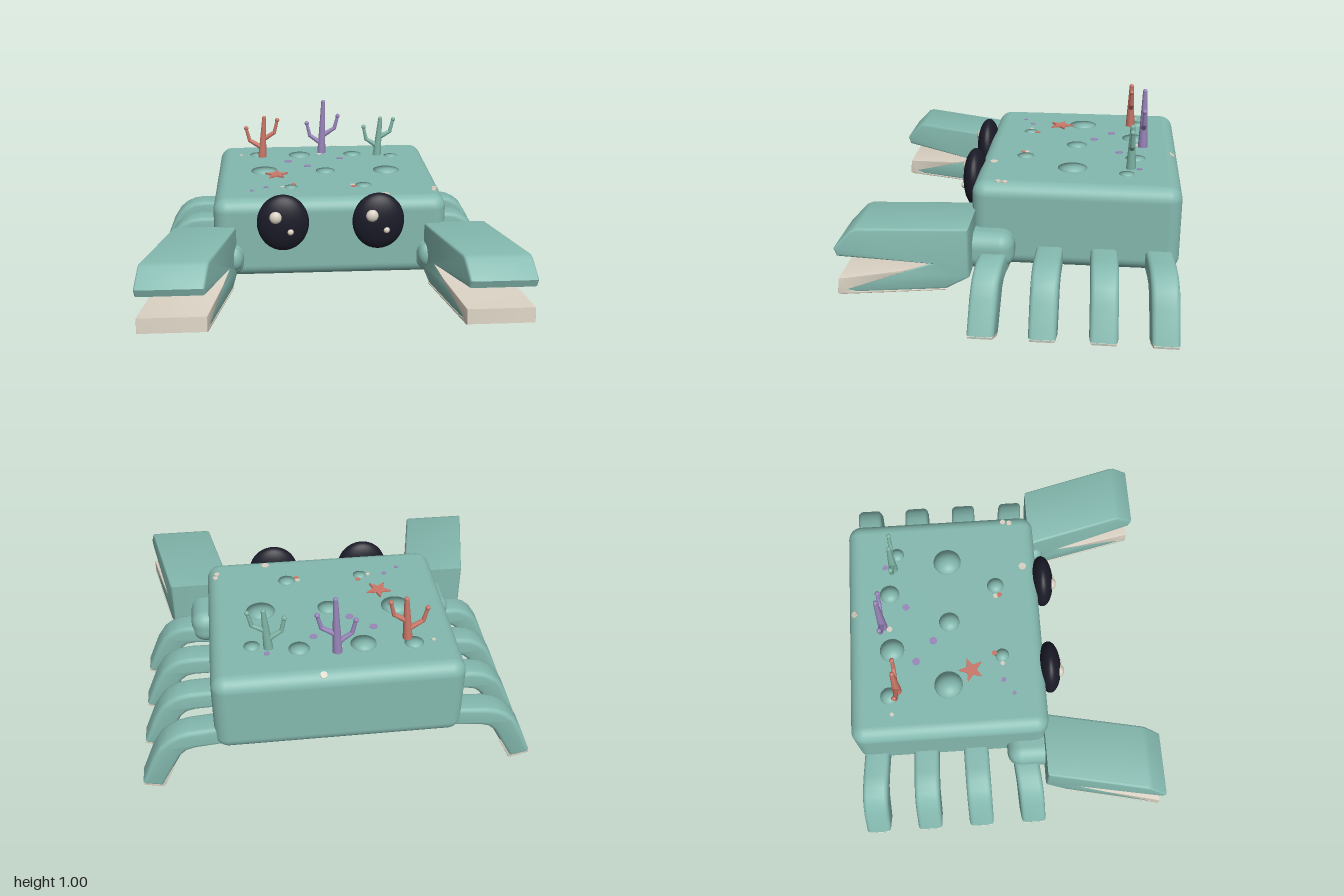
import * as THREE from 'three';
import { toCreasedNormals } from 'three/addons/utils/BufferGeometryUtils.js';
import { RoundedBoxGeometry } from 'three/addons/geometries/RoundedBoxGeometry.js';

const paint = (name, color) => {
  const m = new THREE.MeshStandardMaterial({ color });
  m.name = name;
  return m;
};

export function createModel() {
  const shell = paint('sea green shell', 0x84b9af);
  const cream = paint('cream', 0xd9d1c2);
  const black = paint('eye black', 0x1b1b29);
  const red = paint('coral red', 0xcb7768);
  const purple = paint('coral purple', 0x9a86bb);
  const green = paint('coral green', 0x7fb5a6);

  const model = new THREE.Group();
  model.name = 'crab';

  const add = (parent, name, geo, mat, x = 0, y = 0, z = 0) => {
    const mesh = new THREE.Mesh(geo, mat);
    mesh.name = name;
    mesh.position.set(x, y, z);
    parent.add(mesh);
    return mesh;
  };

  // Extrudes an outline to a total width, centred on its depth, with rounded edges inside the outline
  const slab = (points, width, bevel) => {
    const shape = new THREE.Shape(points.map(p => new THREE.Vector2(...p)));
    const geo = new THREE.ExtrudeGeometry(shape, {
      depth: width - 2 * bevel, bevelSize: bevel, bevelThickness: bevel,
      bevelOffset: -bevel, bevelSegments: 3,
    });
    return geo.translate(0, 0, bevel - width / 2);
  };

  // Moves every vertex by a rule, then restores smooth normals with crisp edges
  const bend = (geo, rule) => {
    const p = geo.attributes.position;
    const v = new THREE.Vector3();
    for (let i = 0; i < p.count; i++) {
      rule(v.fromBufferAttribute(p, i));
      p.setXYZ(i, v.x, v.y, v.z);
    }
    return toCreasedNormals(geo, 0.65);
  };

  // Body
  add(model, 'body', new RoundedBoxGeometry(1.24, 0.44, 1.03, 5, 0.07), shell, 0, 0.45, -0.295);

  // Shallow round pores on the back: x, z, radius (flattened domes that keep round shading)
  const pores = [
    [-0.35, -0.29, 0.075], [0.35, -0.265, 0.075], [-0.14, -0.58, 0.065],
    [0, -0.27, 0.055], [0.18, -0.585, 0.053], [-0.39, -0.6, 0.048],
    [0.41, -0.54, 0.04], [-0.205, 0, 0.037], [0.195, -0.01, 0.045],
  ];
  for (const [x, z, r] of pores) {
    const geo = new THREE.SphereGeometry(r, 24, 8, 0, Math.PI * 2, 0, Math.PI / 2);
    const p = geo.attributes.position;
    for (let i = 0; i < p.count; i++) p.setY(i, 0.0005 + p.getY(i) * 0.05);
    add(model, 'pore', geo, shell, x, 0.67, z);
  }

  // Small painted specks: x, z, radius, colour
  const specks = [
    [-0.21, -0.455, 0.021, purple], [-0.1, -0.36, 0.021, purple], [0.1, -0.5, 0.019, purple],
    [0.34, -0.605, 0.014, purple], [-0.415, 0.05, 0.011, purple], [-0.34, 0, 0.013, purple],
    [-0.02, -0.59, 0.016, cream], [-0.49, -0.59, 0.011, cream], [0.3, 0.145, 0.021, cream],
    [0.575, 0.055, 0.015, cream], [0.567, 0.09, 0.015, cream], [0.135, -0.012, 0.014, cream],
    [-0.25, 0, 0.012, cream], [-0.19, -0.04, 0.014, red], [0.14, 0.008, 0.014, red],
  ];
  for (const [x, z, r, mat] of specks)
    add(model, 'speck', new THREE.CylinderGeometry(r, r, 0.006, 8), mat, x, 0.67, z);
  add(model, 'rearSpeck', new THREE.CylinderGeometry(0.018, 0.018, 0.008, 8), cream, 0.08, 0.659, -0.778)
    .rotation.x = -0.6;

  // Starfish
  const star = [];
  for (let i = 0; i < 10; i++) {
    const a = Math.PI / 2 + i * Math.PI / 5, r = i % 2 ? 0.028 : 0.068;
    star.push([Math.cos(a) * r, Math.sin(a) * r]);
  }
  add(model, 'starfish', slab(star, 0.01, 0.001).rotateX(-Math.PI / 2), red, -0.28, 0.687, -0.167);

  // Eyes with two glints each, the glints on the same side of both eyes
  for (const [name, x] of [['rightEye', -0.253], ['leftEye', 0.25]]) {
    const eye = new THREE.Group();
    eye.name = name;
    eye.position.set(x, 0.56, 0.25);
    add(eye, 'eyeball', new THREE.SphereGeometry(1, 32, 24), black).scale.set(0.137, 0.155, 0.062);
    add(eye, 'largeGlint', new THREE.SphereGeometry(0.033, 16, 12), cream, -0.038, 0.048, 0.052).scale.z = 0.7;
    add(eye, 'smallGlint', new THREE.SphereGeometry(0.017, 12, 10), cream, 0.038, -0.032, 0.056);
    model.add(eye);
  }

  // One side of limbs, mirrored for the other
  const side = new THREE.Group();
  side.name = 'leftLimbs';

  // Walking legs: root z and foot z
  const legOutline = [
    [0.52, 0.35], [0.74, 0.35], [0.8, 0.34], [0.85, 0.315], [0.89, 0.28], [0.933, 0.21],
    [1.0, 0.042], [0.9, 0.008], [0.794, 0.205], [0.765, 0.23], [0.72, 0.24], [0.52, 0.24],
  ];
  const soleOutline = [
    [1.0, 0.047], [0.998, 0.036], [0.902, 0], [0.893, 0.006], [0.833, 0.126],
    [0.844, 0.132], [0.903, 0.017], [0.99, 0.05],
  ];
  for (const [root, foot] of [[0.09, 0.13], [-0.17, -0.165], [-0.44, -0.455], [-0.71, -0.745]]) {
    const leg = new THREE.Group();
    leg.name = 'leg';
    const splay = v => { v.z += root + (foot - root) * (v.x - 0.62) / 0.38; };
    add(leg, 'legShell', bend(slab(legOutline, 0.135, 0.022), splay), shell);
    add(leg, 'sole', bend(slab(soleOutline, 0.12, 0.002), splay), cream);
    side.add(leg);
  }

  // Arm and rounded joint
  add(side, 'arm', new RoundedBoxGeometry(0.27, 0.19, 0.27, 4, 0.075), shell, 0.595, 0.345, 0.135);
  add(side, 'wrist', new THREE.SphereGeometry(1, 20, 14), shell, 0.515, 0.355, 0.235).scale.set(0.048, 0.068, 0.05);

  // Claw: outline in z and y, slanting outward toward the tip
  const clawOutline = [
    [0.2, 0.525], [0.71, 0.555], [0.735, 0.545], [0.815, 0.46], [0.802, 0.42],
    [0.375, 0.354], [0.507, 0.327], [0.795, 0.303], [0.803, 0.232], [0.79, 0.225],
    [0.31, 0.217], [0.2, 0.27],
  ];
  const liningOutline = [
    [0.385, 0.356], [0.507, 0.331], [0.8, 0.306], [0.808, 0.228], [0.795, 0.221],
    [0.31, 0.213], [0.3, 0.219], [0.72, 0.231], [0.765, 0.245], [0.53, 0.312],
  ];
  const slant = v => { v.x += 0.665 + (v.z - 0.2) * 0.217; };
  const claw = new THREE.Group();
  claw.name = 'claw';
  add(claw, 'pincer', bend(slab(clawOutline, 0.335, 0.012).rotateY(-Math.PI / 2), slant), shell);
  add(claw, 'pincerLining', bend(slab(liningOutline, 0.338, 0.002).rotateY(-Math.PI / 2), slant), cream);
  side.add(claw);
  model.add(side);

  const other = side.clone();
  other.name = 'rightLimbs';
  other.scale.x = -1;
  model.add(other);

  // Branching corals on the back
  const twig = (parent, a, b, r0, r1) => {
    const from = new THREE.Vector3(...a, 0), to = new THREE.Vector3(...b, 0);
    const dir = to.clone().sub(from);
    const mesh = add(parent, 'branch', new THREE.CylinderGeometry(r1, r0, dir.length(), 10), parent.userData.mat);
    mesh.position.copy(from).add(to).multiplyScalar(0.5);
    mesh.quaternion.setFromUnitVectors(new THREE.Vector3(0, 1, 0), dir.normalize());
    add(parent, 'knob', new THREE.SphereGeometry(r1 * 1.05, 10, 8), parent.userData.mat, ...b, 0);
  };
  const coral = (name, mat, x, z, top, left, right) => {
    const g = new THREE.Group();
    g.name = name;
    g.userData.mat = mat;
    g.position.set(x, 0, z);
    twig(g, [0, 0.655], top, 0.026, 0.012);
    for (const [tip, forkY] of [[left, 0.725], [right, 0.775]]) {
      const elbow = [tip[0] * 0.8, tip[1] - 0.075];
      twig(g, [0.004, forkY], elbow, 0.015, 0.011);
      twig(g, elbow, tip, 0.011, 0.009);
      add(g, 'bud', new THREE.SphereGeometry(0.013, 10, 8), mat, ...tip, 0);
    }
    delete g.userData.mat;
    model.add(g);
  };
  coral('redCoral', red, -0.365, -0.56, [0.018, 0.91], [-0.09, 0.848], [0.095, 0.895]);
  coral('purpleCoral', purple, -0.005, -0.625, [0.013, 0.985], [-0.087, 0.855], [0.1, 0.898]);
  coral('greenCoral', green, 0.328, -0.56, [0.018, 0.895], [-0.082, 0.845], [0.095, 0.89]);

  return model;
}
